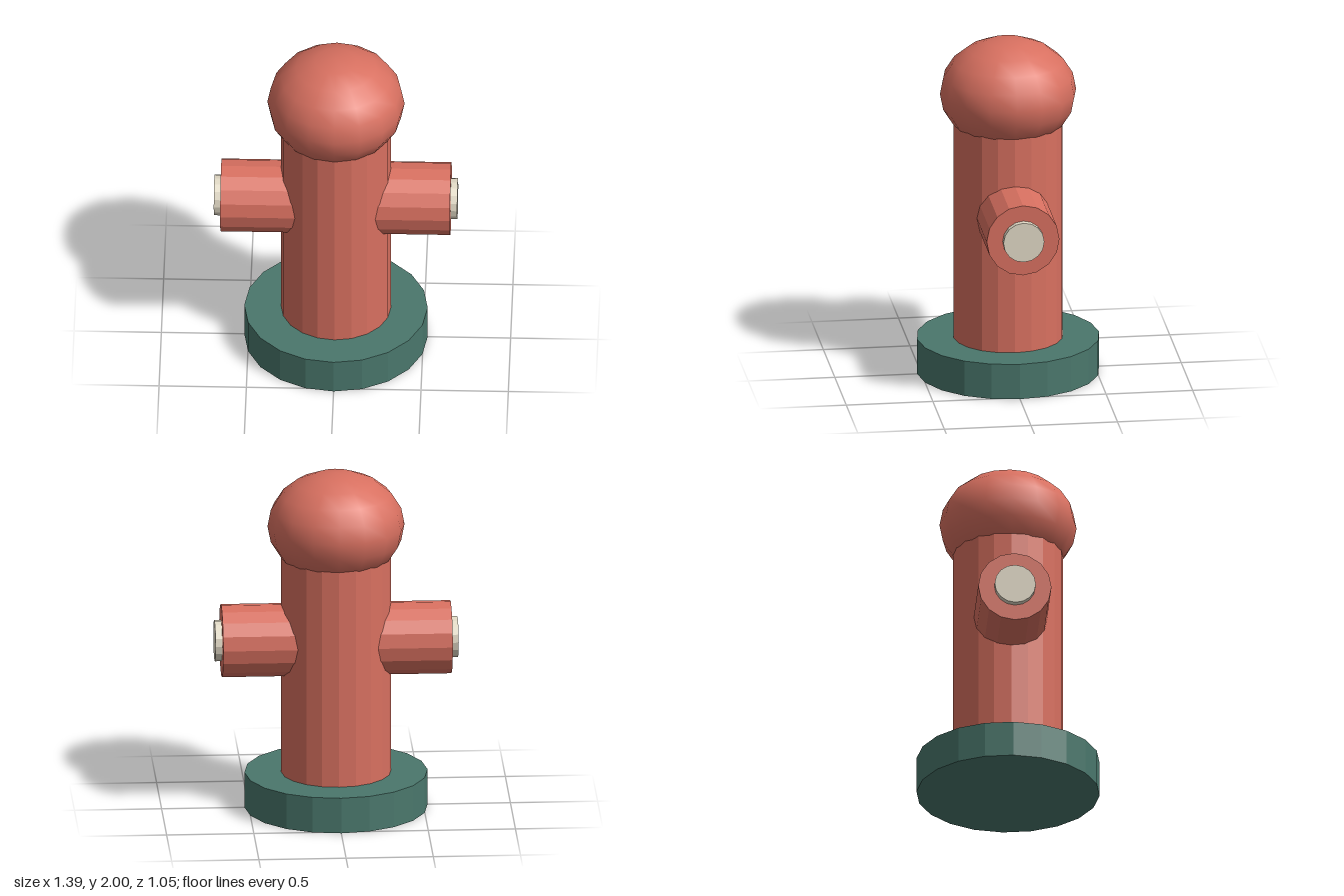
import * as THREE from 'three';

export function createModel() {
  const model = new THREE.Group();
  const material = (color, flatShading) => new THREE.MeshStandardMaterial({ color, flatShading });
  const red = material(0xd87060, true);
  const redSmooth = material(0xd87060, false);
  const green = material(0x4a776c, true);
  const cream = material(0xe2dac6, true);

  const add = (name, geometry, mat, x, y, parent = model) => {
    const mesh = new THREE.Mesh(geometry, mat);
    mesh.name = name;
    mesh.position.set(x, y, 0);
    parent.add(mesh);
    return mesh;
  };

  // Round foot and upright barrel
  add('base', new THREE.CylinderGeometry(0.525, 0.525, 0.21, 20), green, 0, 0.105);
  add('barrel', new THREE.CylinderGeometry(0.315, 0.315, 1.31, 20), red, 0, 0.865);

  // Flattened dome on top
  const dome = add('dome', new THREE.SphereGeometry(0.393, 16, 10), redSmooth, 0, 1.685);
  dome.scale.y = 0.315 / 0.393;

  // Side outlets, each with a small end plug
  for (const [side, label] of [[1, 'left'], [-1, 'right']]) {
    const outlet = new THREE.Group();
    outlet.name = label + 'Outlet';
    outlet.position.y = 1.003;
    model.add(outlet);
    const pipe = add('pipe', new THREE.CylinderGeometry(0.21, 0.21, 0.458, 16), red, side * 0.429, 0, outlet);
    const plug = add('plug', new THREE.CylinderGeometry(0.118, 0.118, 0.08, 16), cream, side * 0.657, 0, outlet);
    pipe.rotation.z = plug.rotation.z = -side * Math.PI / 2;
  }
  return model;
}
